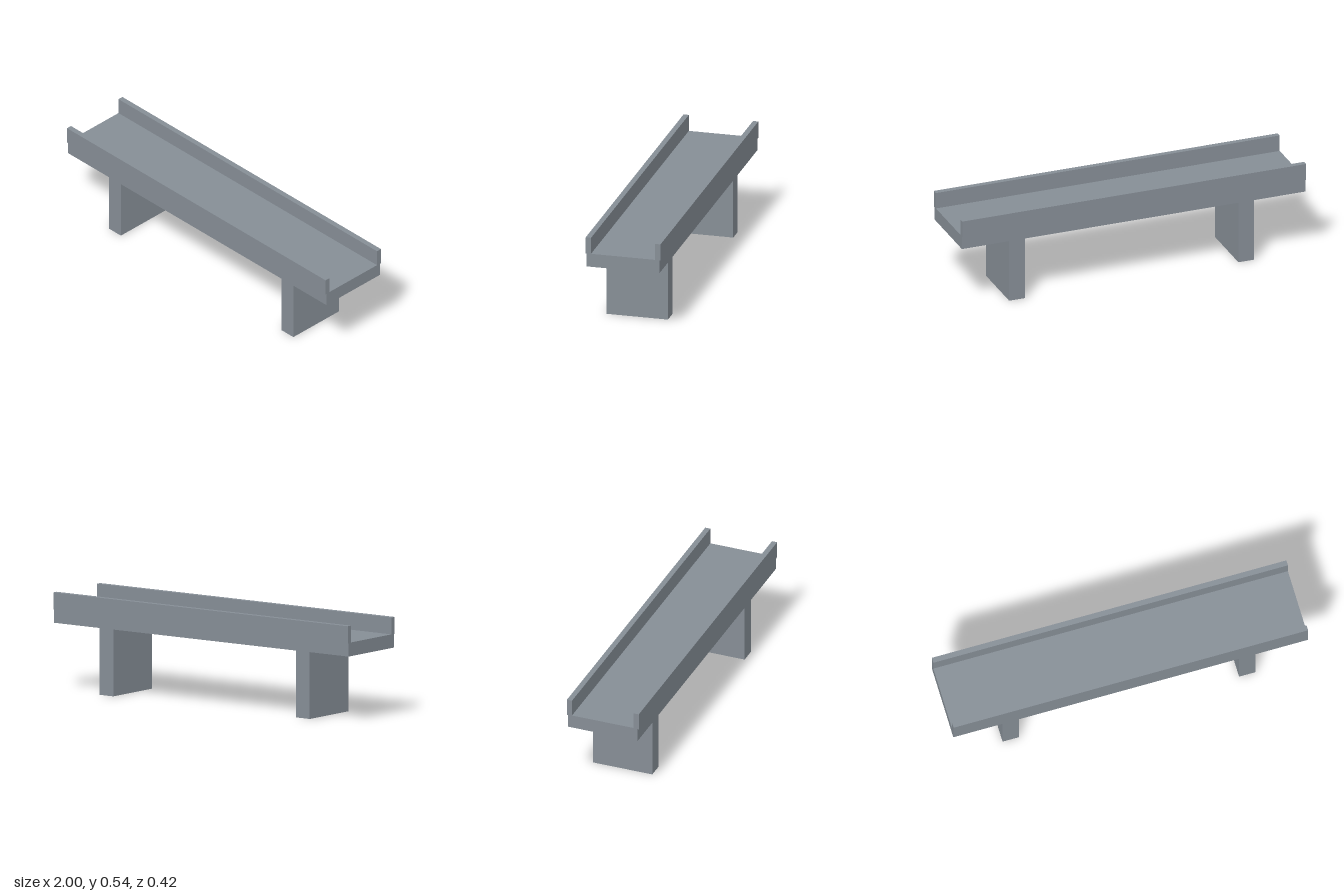
import * as THREE from 'three';

export function createModel() {
  const model = new THREE.Group();
  model.name = 'bridge';
  const concrete = new THREE.MeshStandardMaterial({ color: 0x868e96 });
  concrete.name = 'concrete grey';

  // Box with its underside at height y
  function addBox(name, [w, h, d], [x, y, z]) {
    const mesh = new THREE.Mesh(new THREE.BoxGeometry(w, h, d), concrete);
    mesh.name = name;
    mesh.position.set(x, y + h / 2, z);
    model.add(mesh);
  }

  // Deck slab
  addBox('deck', [2, 0.075, 0.408], [0, 0.372, 0]);

  // Parapets overhang the deck slightly; piers carry it
  for (const [side, s] of [['left', 1], ['right', -1]]) {
    addBox(s > 0 ? 'frontParapet' : 'backParapet', [2, 0.094, 0.03], [0, 0.445, s * 0.195]);
    addBox(side + 'Pier', [0.092, 0.372, 0.346], [s * 0.667, 0, 0]);
  }
  return model;
}
